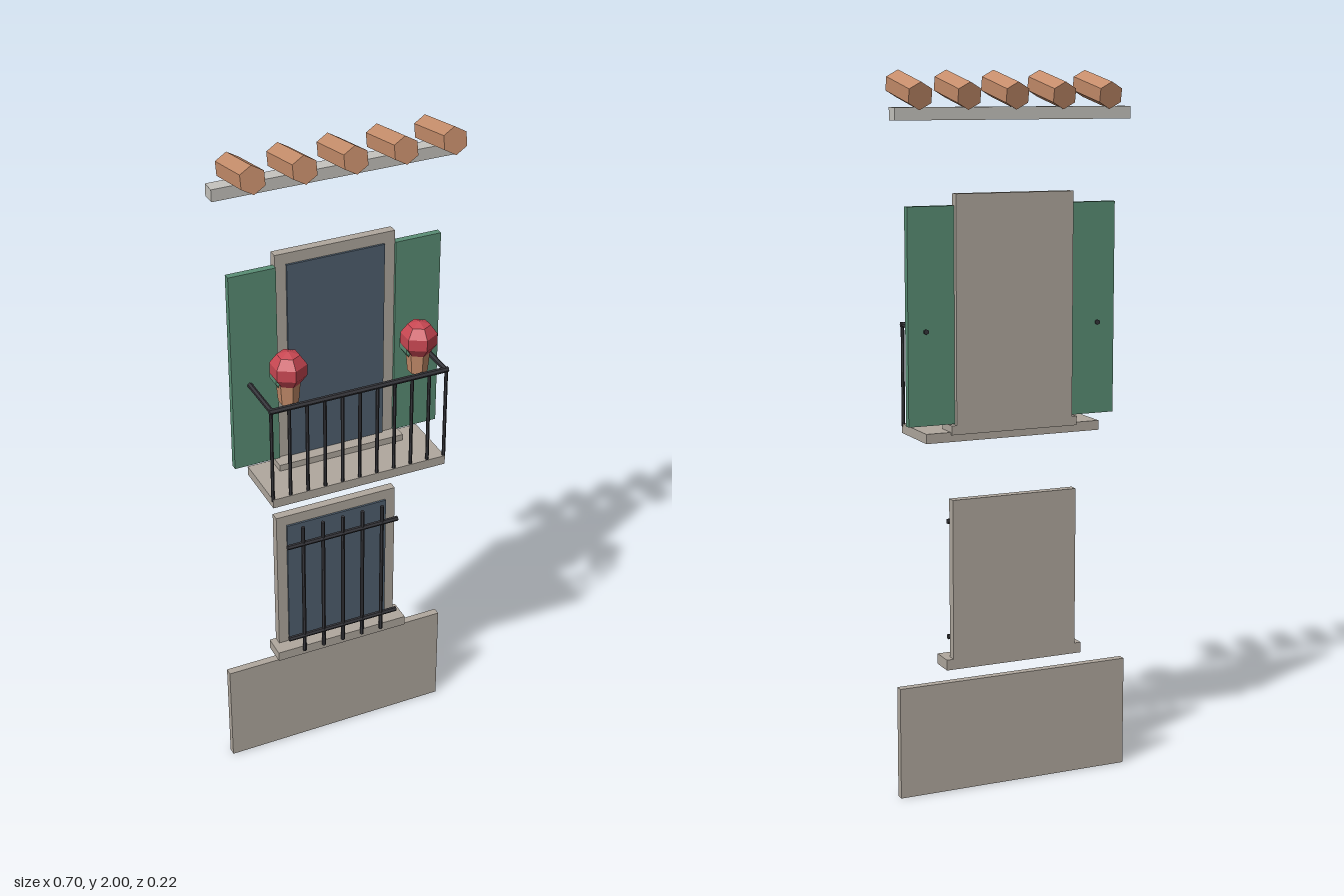
import * as THREE from 'three';

const mat = (name, color) => {
  const m = new THREE.MeshStandardMaterial({ color, flatShading: true });
  m.name = name;
  return m;
};

export function createModel() {
  const stone = mat('stone', 0xb0a89e);
  const plaster = mat('pale plaster', 0xc6c4be);
  const glass = mat('dark glass', 0x506070);
  const green = mat('green', 0x5a8e75);
  const iron = mat('iron', 0x35353a);
  const clay = mat('terracotta', 0xc48c6a);
  const red = mat('red petals', 0xc84752);

  const model = new THREE.Group();
  model.name = 'facadeDetails';

  const add = (name, geometry, material, x = 0, y = 0, z = 0) => {
    const mesh = new THREE.Mesh(geometry, material);
    mesh.name = name;
    mesh.position.set(x, y, z);
    model.add(mesh);
    return mesh;
  };
  // Box given by its lower and upper limits
  const box = (name, m, x0, x1, y0, y1, z0, z1) =>
    add(name, new THREE.BoxGeometry(x1 - x0, y1 - y0, z1 - z0), m,
      (x0 + x1) / 2, (y0 + y1) / 2, (z0 + z1) / 2);
  // Six-sided bar between two points
  const bar = (name, a, b, r) => {
    const p = new THREE.Vector3(...a), q = new THREE.Vector3(...b);
    const d = q.clone().sub(p);
    const mesh = add(name, new THREE.CylinderGeometry(r, r, d.length(), 6), iron);
    mesh.position.copy(p).add(q).multiplyScalar(0.5);
    mesh.quaternion.setFromUnitVectors(new THREE.Vector3(0, 1, 0), d.normalize());
  };
  const blob = (name, m, r, x, y, z) =>
    add(name, new THREE.SphereGeometry(r, 6, 5).rotateY(Math.PI / 6), m, x, y, z);

  // Base panel
  box('plinth', stone, -0.348, 0.348, 0, 0.318, -0.087, -0.064);

  // Lower window with sill and grille
  box('windowFrame', stone, -0.188, 0.188, 0.37, 0.838, -0.087, -0.061);
  box('windowGlass', glass, -0.157, 0.157, 0.384, 0.806, -0.062, -0.055);
  box('windowSill', stone, -0.208, 0.208, 0.354, 0.384, -0.087, -0.018);
  for (let i = -2; i <= 2; i++) {
    bar('grilleBar', [i * 0.0625, 0.37, -0.015], [i * 0.0625, 0.82, -0.015], 0.0058);
  }
  for (const y of [0.428, 0.762]) {
    bar('grilleCrossbar', [-0.175, y, -0.015], [0.175, y, -0.015], 0.0075);
  }

  // Balcony door
  box('doorFrame', stone, -0.175, 0.175, 1.02, 1.674, -0.087, -0.061);
  box('doorGlass', glass, -0.143, 0.143, 1.045, 1.642, -0.062, -0.055);
  box('doorStep', stone, -0.19, 0.19, 1.02, 1.046, -0.087, -0.02);
  box('balconySlab', stone, -0.262, 0.262, 1.0, 1.027, -0.08, 0.102);

  // Railing
  const railY = 1.306, railZ = 0.0965;
  bar('frontRail', [-0.265, railY, railZ], [0.265, railY, railZ], 0.008);
  for (let i = -5; i <= 5; i++) {
    bar('baluster', [i * 0.052, 1.02, railZ], [i * 0.052, railY, railZ], 0.005);
  }

  // Mirrored shutters, side rails and flower pots
  for (const s of [-1, 1]) {
    const shutter = box('shutter', green, 0.175, 0.31, 1.048, 1.642, -0.073, -0.053);
    shutter.position.x *= s;
    bar('sideRail', [s * 0.258, railY, -0.078], [s * 0.258, railY, railZ], 0.0075);
    add('flowerPot', new THREE.CylinderGeometry(0.035, 0.028, 0.078, 6), clay,
      s * 0.192, 1.339, 0.056);
    blob('foliage', green, 0.045, s * 0.192, 1.375, 0.04);
    blob('flowers', red, 0.053, s * 0.192, 1.402, 0.06);
  }

  // Eave strip with sloping roof tiles
  box('eaveStrip', plaster, -0.348, 0.348, 1.868, 1.902, -0.088, -0.047);
  for (let i = -2; i <= 2; i++) {
    const tile = new THREE.CylinderGeometry(0.0375, 0.0375, 0.17, 6).rotateX(Math.PI / 2);
    add('roofTile', tile, clay, i * 0.14, 1.947, -0.017).rotation.x = -0.19;
  }
  return model;
}
